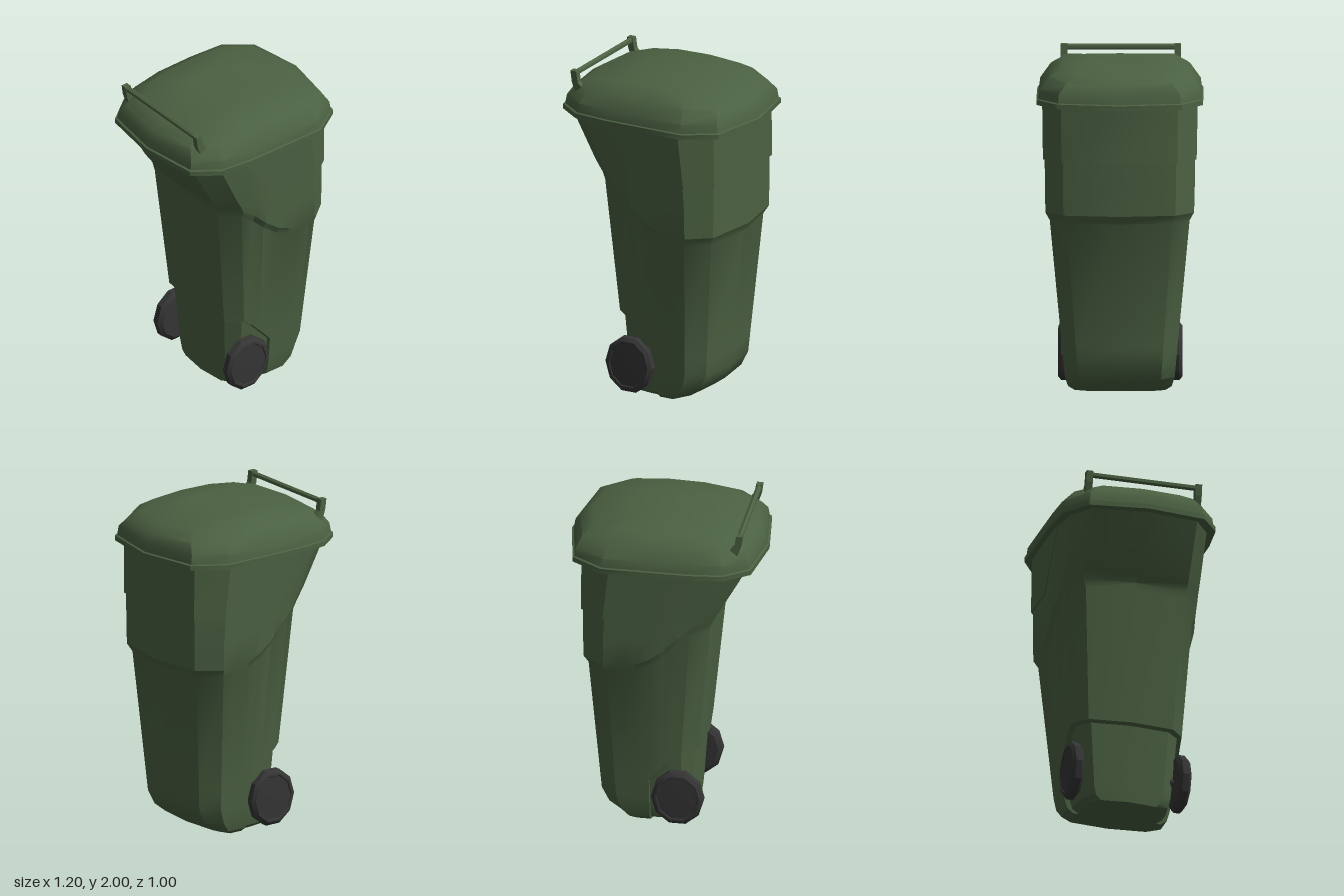
import * as THREE from 'three';
import { toCreasedNormals } from 'three/addons/utils/BufferGeometryUtils.js';

// Piecewise linear curve through [t, value] points
function curve(points, t) {
  if (t <= points[0][0]) return points[0][1];
  for (let i = 1; i < points.length; i++) {
    const [t0, v0] = points[i - 1], [t1, v1] = points[i];
    if (t <= t1) return v0 + (v1 - v0) * (t - t0) / (t1 - t0);
  }
  return points[points.length - 1][1];
}

// Skin between rings of [x, y, z] points, with optional fan caps
function loft(rings, { closed = true, bottom = null, top = null, crease = 0.5 } = {}) {
  const n = rings[0].length, pos = rings.flat(2), index = [];
  const steps = closed ? n : n - 1;
  for (let j = 0; j < rings.length - 1; j++) {
    for (let i = 0; i < steps; i++) {
      const k = (i + 1) % n, a = j * n + i, b = j * n + k;
      index.push(a, b, b + n, a, b + n, a + n);
    }
  }
  const cap = (centre, start, flip) => {
    const c = pos.length / 3;
    pos.push(...centre);
    for (let i = 0; i < n; i++) {
      const a = start + i, b = start + (i + 1) % n;
      index.push(c, flip ? b : a, flip ? a : b);
    }
  };
  if (bottom) cap(bottom, 0, true);
  if (top) cap(top, (rings.length - 1) * n, false);
  const geo = new THREE.BufferGeometry();
  geo.setAttribute('position', new THREE.Float32BufferAttribute(pos, 3));
  geo.setIndex(index);
  return toCreasedNormals(geo, crease);
}

// Half outline columns become a full loop, mirrored across z
function mirrorColumns(half, keepStart) {
  const other = half.slice(keepStart ? 0 : 1, -1).reverse();
  return [...half.map(c => ({ ...c, side: 1 })), ...other.map(c => ({ ...c, side: -1 }))];
}

// Side profiles of the tub by height
const BACK = [[0, -0.205], [0.5, -0.24], [1.38, -0.33], [1.45, -0.38], [1.75, -0.555]];
const FRONT = [[0, 0.395], [1.05, 0.49], [1.75, 0.507]];
const DEPTH = [[0, 0.27], [0.03, 0.31], [0.09, 0.328], [0.35, 0.352], [1.05, 0.418], [1.75, 0.428]];
const TOE = [[0, 0.195], [0.03, 0.12], [0.09, 0.042], [0.18, 0]];
// Height of the shoulder step and of the wheel recess along the side
const SHOULDER = [[0.1, 1.38], [0.17, 1.36], [0.26, 1.31], [0.34, 1.24], [0.46, 1.16], [0.56, 1.12], [0.7, 1.1]];
const RECESS = [[0.2, 0.5], [0.46, 0.3]];
const PANEL = [[0.32, 1.74], [0.5, 1.42]];

// Point on the tub: u runs back to front, w is the share of the half depth
function tubPoint({ u, w, side }, y, out = 0, sunk = 0) {
  const xb = curve(BACK, y), xf = curve(FRONT, y), fwd = Math.max(0, 2 * u - 1);
  const x = xb + (xf - xb) * u - curve(TOE, y) * fwd + out * fwd + sunk * Math.max(0, 1 - 5 * u);
  const z = (curve(DEPTH, y) + out * 0.85 - sunk * 1.2) * w;
  return [x, y, z * side];
}

function tubGeometry() {
  const half = [[0, 0], [0.04, 0.72], [0.17, 0.94], [0.26, 0.97], [0.34, 1], [0.46, 1], [0.46, 1],
    [0.56, 1], [0.67, 1], [0.78, 1], [0.94, 0.755], [1, 0]]
    .map(([u, w], i) => ({ u, w, sunk: i < 6 ? 0.025 : 0 }));
  const cols = mirrorColumns(half, false);
  const rings = [];
  for (const y of [0, 0.03, 0.09, 0.18]) rings.push(cols.map(c => tubPoint(c, y, 0, c.sunk)));
  rings.push(cols.map(c => tubPoint(c, curve(RECESS, c.u) - 0.012, 0, c.sunk)));
  rings.push(cols.map(c => tubPoint(c, curve(RECESS, c.u))));
  rings.push(cols.map(c => tubPoint(c, curve(SHOULDER, c.u) - 0.05)));
  for (const t of [0, 0.5, 1]) {
    rings.push(cols.map(c => {
      const h = curve(SHOULDER, c.u);
      return tubPoint(c, h + (1.46 - h) * t, 0.03);
    }));
  }
  rings.push(cols.map(c => tubPoint(c, 1.76, 0.03)));
  return loft(rings, { bottom: [0, 0, 0], top: [0, 1.76, 0] });
}

// Raised band that wraps the front and slants up along both sides
function panelGeometry() {
  const half = [[0.32, 0.99], [0.5, 1], [0.78, 1], [0.94, 0.755], [1, 0]].map(([u, w]) => ({ u, w }));
  const cols = mirrorColumns(half, true);
  const low = c => curve(PANEL, c.u);
  return loft([
    cols.map(c => tubPoint(c, low(c), 0.02)),
    cols.map(c => tubPoint(c, low(c), 0.042)),
    cols.map(c => tubPoint(c, 1.755, 0.042)),
  ], { closed: false });
}

// Lid: flange, upright rim and a domed crown
function lidGeometry() {
  const half = [[-0.6, 0], [-0.55, 0.36], [-0.4, 0.473], [-0.19, 0.497], [0.08, 0.498], [0.34, 0.498],
    [0.53, 0.375], [0.6, 0]];
  const outline = [...half, ...half.slice(1, -1).reverse().map(([x, z]) => [x, -z])];
  const crown = x => 1.99 - 0.23 * x * x;
  const flat = (s, y) => outline.map(([x, z]) => [x * s, y, z * s]);
  const dome = (sx, sz, rise) => outline.map(([x, z]) =>
    [x * sx, 1.84 + (crown(x * sx) - 1.84) * rise, z * sz]);
  return loft([
    flat(1, 1.75), flat(1, 1.78), flat(0.98, 1.785), flat(0.965, 1.84),
    dome(0.91, 0.84, 0.62), dome(0.79, 0.67, 0.97), dome(0.4, 0.34, 1),
  ], { bottom: [0, 1.75, 0], top: [0, 1.99, 0], crease: 0.6 });
}

export function createModel() {
  const green = new THREE.MeshStandardMaterial({ color: 0x4b6142 });
  green.name = 'green plastic';
  const black = new THREE.MeshStandardMaterial({ color: 0x353535 });
  black.name = 'black rubber';

  const model = new THREE.Group();
  model.name = 'wheeledBin';
  const add = (name, geo, mat, parent = model) => {
    const mesh = new THREE.Mesh(geo, mat);
    mesh.name = name;
    parent.add(mesh);
    return mesh;
  };

  add('tub', tubGeometry(), green);
  add('frontPanel', panelGeometry(), green);
  add('lid', lidGeometry(), green);

  // Lid handle: two posts and a bar
  const handle = new THREE.Group();
  handle.name = 'handle';
  model.add(handle);
  const post = new THREE.Shape([[-0.5, 2], [-0.49, 1.93], [-0.465, 1.86], [-0.41, 1.89], [-0.45, 1.93], [-0.46, 2]]
    .map(([x, y]) => new THREE.Vector2(x, y)));
  for (const s of [1, -1]) {
    const geo = new THREE.ExtrudeGeometry(post, { depth: 0.04, bevelEnabled: false });
    add('handlePost', geo, green, handle).position.z = s * 0.34 - 0.02;
  }
  const bar = add('handleBar', toCreasedNormals(new THREE.CylinderGeometry(0.018, 0.018, 0.66, 6), 0.5), green, handle);
  bar.rotation.x = Math.PI / 2;
  bar.position.set(-0.477, 1.982, 0);

  // Ten-sided wheels with a stepped outer face, on a common axle
  const profile = [[0, -0.04], [0.15, -0.04], [0.178, -0.02], [0.178, 0.018], [0.155, 0.036],
    [0.142, 0.036], [0.137, 0.03], [0, 0.034]].map(([r, y]) => new THREE.Vector2(r, y));
  const wheelGeo = toCreasedNormals(new THREE.LatheGeometry(profile, 10, Math.PI / 10), 0.4);
  for (const s of [1, -1]) {
    const wheel = add('wheel', wheelGeo, black);
    wheel.rotation.x = s * Math.PI / 2;
    wheel.scale.x = 0.9;
    wheel.position.set(-0.102, 0.198, s * 0.335);
  }
  const axle = add('axle', new THREE.CylinderGeometry(0.025, 0.025, 0.62, 10), black);
  axle.rotation.x = Math.PI / 2;
  axle.position.set(-0.102, 0.198, 0);

  return model;
}
